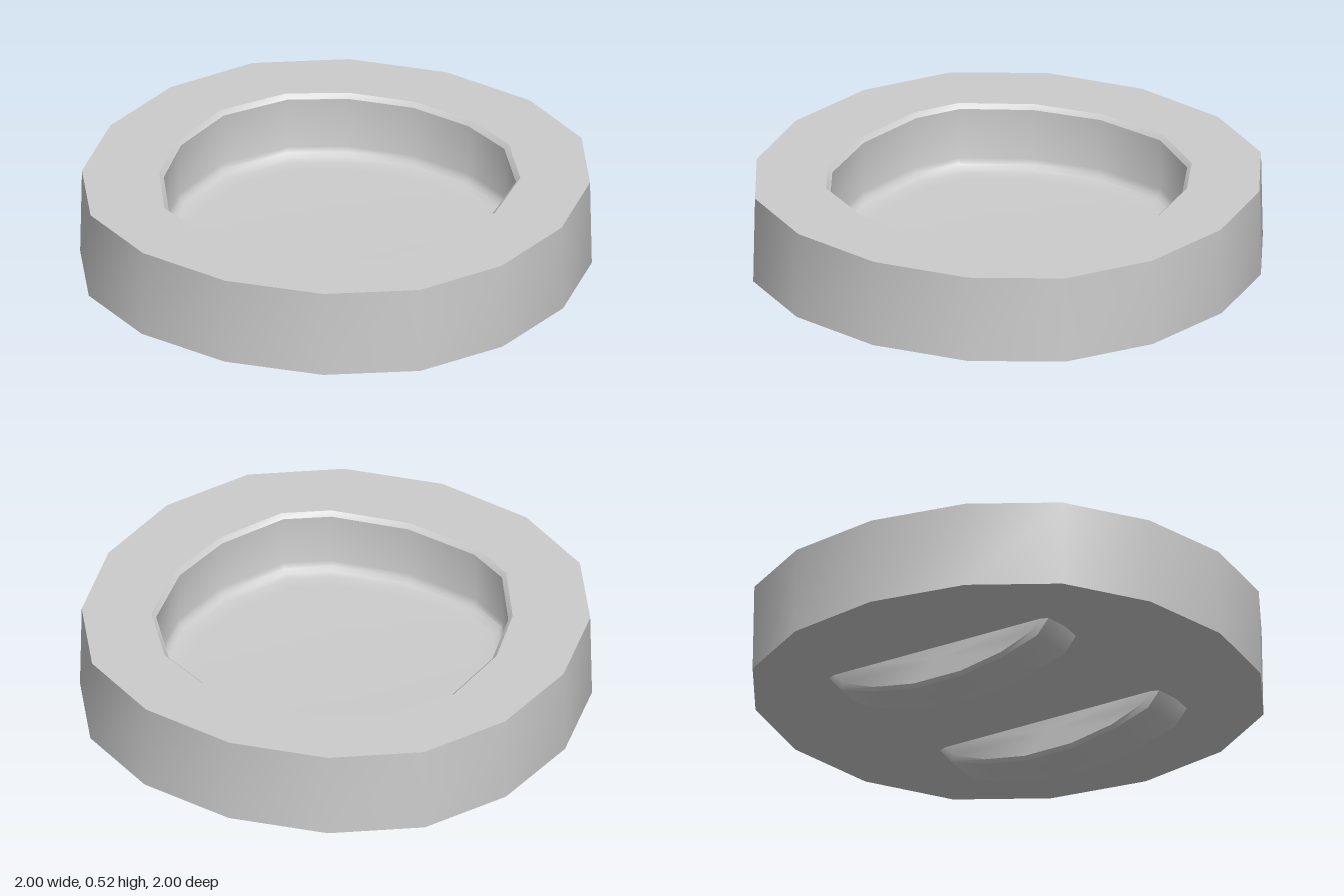
import * as THREE from 'three';
import { toCreasedNormals } from 'three/addons/utils/BufferGeometryUtils.js';

const material = new THREE.MeshStandardMaterial({ color: 0xcccccc });

// Skin a list of equal-length closed rings and close both ends with a fan.
function loft(rings) {
  const centre = (r) => {
    const c = r.reduce((s, p) => s.add(p), new THREE.Vector3()).divideScalar(r.length);
    return r.map(() => c);
  };
  const all = [centre(rings[0]), ...rings, centre(rings[rings.length - 1])];
  const pos = [];
  const tri = (a, b, c) => {
    if (a !== b && b !== c && a !== c) for (const p of [a, b, c]) pos.push(p.x, p.y, p.z);
  };
  for (let k = 0; k < all.length - 1; k++) {
    const a = all[k], b = all[k + 1], n = a.length;
    for (let i = 0; i < n; i++) {
      const j = (i + 1) % n;
      tri(a[i], a[j], b[j]);
      tri(a[i], b[j], b[i]);
    }
  }
  const geometry = new THREE.BufferGeometry();
  geometry.setAttribute('position', new THREE.Float32BufferAttribute(pos, 3));
  return toCreasedNormals(geometry, 0.62);
}

// Complete a half outline (front to back on +x) by mirroring it to -x.
const mirrorOutline = (half) => [
  ...half,
  ...half.slice(1, -1).reverse().map(([x, z]) => [-x, z]),
];

// Sixteen-sided outlines of the rim and the recess, as [x, z]
const outer = mirrorOutline([
  [0, 1], [0.4, 0.93], [0.73, 0.73], [0.93, 0.4], [1, 0],
  [0.93, -0.4], [0.73, -0.73], [0.4, -0.93], [0, -1],
]);
const inner = mirrorOutline([
  [0, 0.69], [0.32, 0.64], [0.49, 0.54], [0.64, 0.28], [0.7, 0],
  [0.66, -0.31], [0.49, -0.55], [0.27, -0.665], [0, -0.71],
]);

function createBody() {
  const ring = (outline, scale, y) =>
    outline.map(([x, z]) => new THREE.Vector3(x * scale, y, z * scale));
  return loft([
    // very slightly crowned underside
    ring(outer, 0.8, 0.154),
    ring(outer, 1, 0.161),
    ring(outer, 0.993, 0.518),
    // chamfered lip, wall and softly rounded floor of the recess
    ring(inner, 1, 0.518),
    ring(inner, 0.975, 0.5),
    ring(inner, 0.985, 0.285),
    ring(inner, 0.975, 0.263),
    ring(inner, 0.955, 0.248),
    ring(inner, 0.92, 0.24),
    ring(inner, 0.84, 0.237),
  ]);
}

// Curved rocker foot: crowned tread, chamfered long edges
function createFoot() {
  const section = (half, x, lift = 0) => [
    ...half.map(([z, y]) => new THREE.Vector3(x, y + lift, z - lift)),
    ...half.slice().reverse().map(([z, y]) => new THREE.Vector3(x, y + lift, lift - z)),
  ];
  const full = [[0.535, 0.18], [0.53, 0.155], [0.47, 0.085], [0.31, 0.034], [0.11, 0]];
  const inset = [[0.495, 0.18], [0.485, 0.155], [0.44, 0.108], [0.3, 0.055], [0.11, 0.022]];
  return loft([
    section(inset, -0.113),
    section(full, -0.1, 0.007),
    section(full, 0),
    section(full, 0.1, 0.007),
    section(inset, 0.113),
  ]);
}

export function createModel() {
  const model = new THREE.Group();
  model.name = 'roundDish';

  const body = new THREE.Mesh(createBody(), material);
  body.name = 'dishBody';
  model.add(body);

  const footGeometry = createFoot();
  for (const [name, x] of [['leftFoot', 0.403], ['rightFoot', -0.403]]) {
    const foot = new THREE.Mesh(footGeometry, material);
    foot.name = name;
    foot.position.x = x;
    model.add(foot);
  }
  return model;
}
